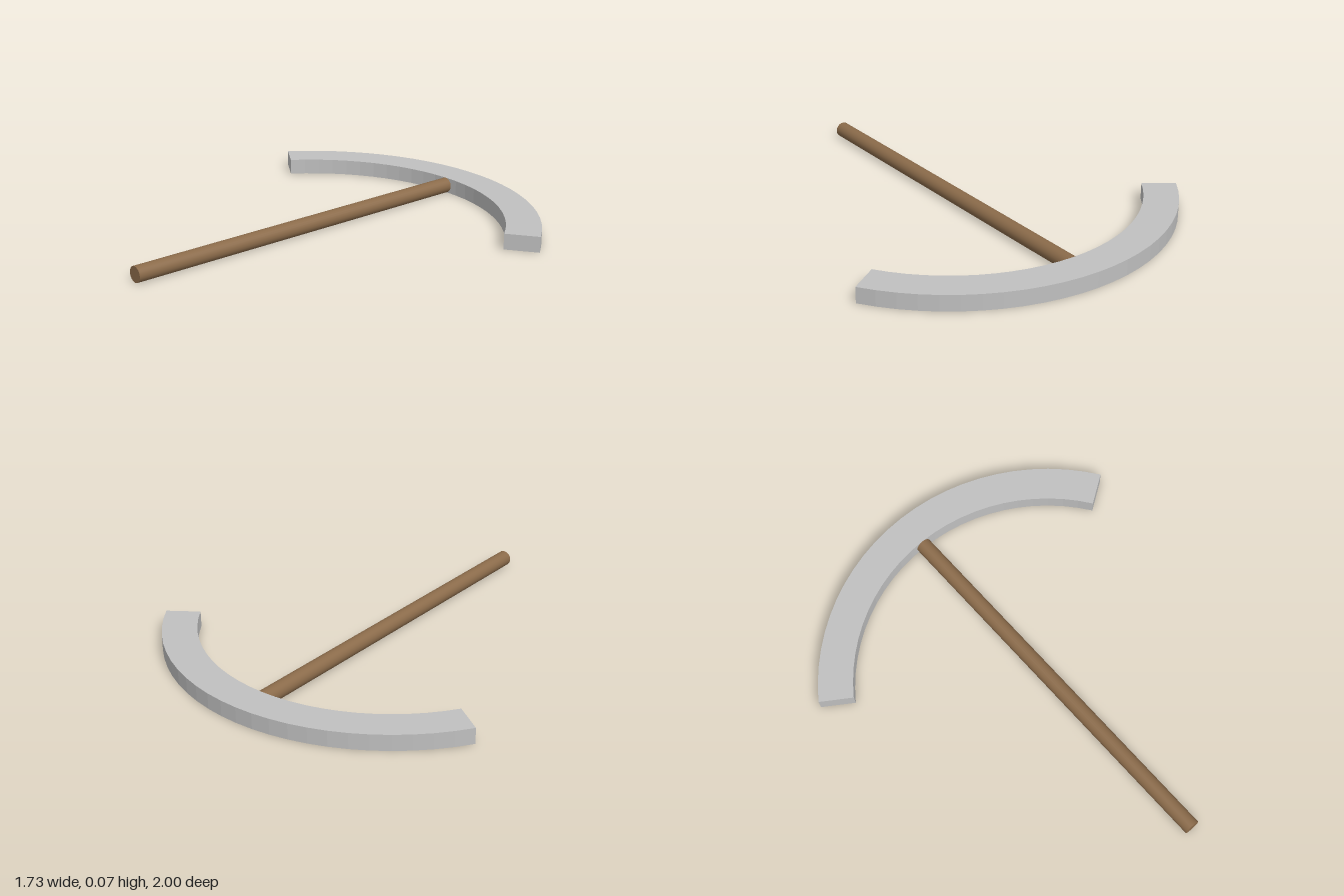
import * as THREE from 'three';

export function createModel() {
  const model = new THREE.Group();
  const steel = new THREE.MeshStandardMaterial({ color: 0xc0c0c0, flatShading: true });
  steel.name = 'steel grey';
  const wood = new THREE.MeshStandardMaterial({ color: 0x8b6b4a });
  wood.name = 'wood brown';

  const height = 0.074;
  const outer = 1.047, inner = 0.887, halfAngle = 0.976;
  const centreZ = outer - 1;

  // Curved head: a ring sector drawn in plan, extruded upwards
  const start = Math.PI / 2 - halfAngle, end = Math.PI / 2 + halfAngle;
  const sector = new THREE.Shape();
  sector.absarc(0, 0, outer, start, end, false);
  sector.absarc(0, 0, inner, end, start, true);
  sector.closePath();
  const headGeometry = new THREE.ExtrudeGeometry(sector, {
    depth: height, bevelEnabled: false, curveSegments: 12,
  });
  headGeometry.rotateX(-Math.PI / 2);
  const head = new THREE.Mesh(headGeometry, steel);
  head.name = 'curvedHead';
  head.position.z = centreZ;
  model.add(head);

  // Straight round handle, butting against the inside of the head
  const backZ = centreZ - inner;
  const handleGeometry = new THREE.CylinderGeometry(height / 2, height / 2, 1 - backZ, 24);
  handleGeometry.rotateX(Math.PI / 2);
  const handle = new THREE.Mesh(handleGeometry, wood);
  handle.name = 'handle';
  handle.position.set(0, height / 2, (1 + backZ) / 2);
  model.add(handle);

  return model;
}
